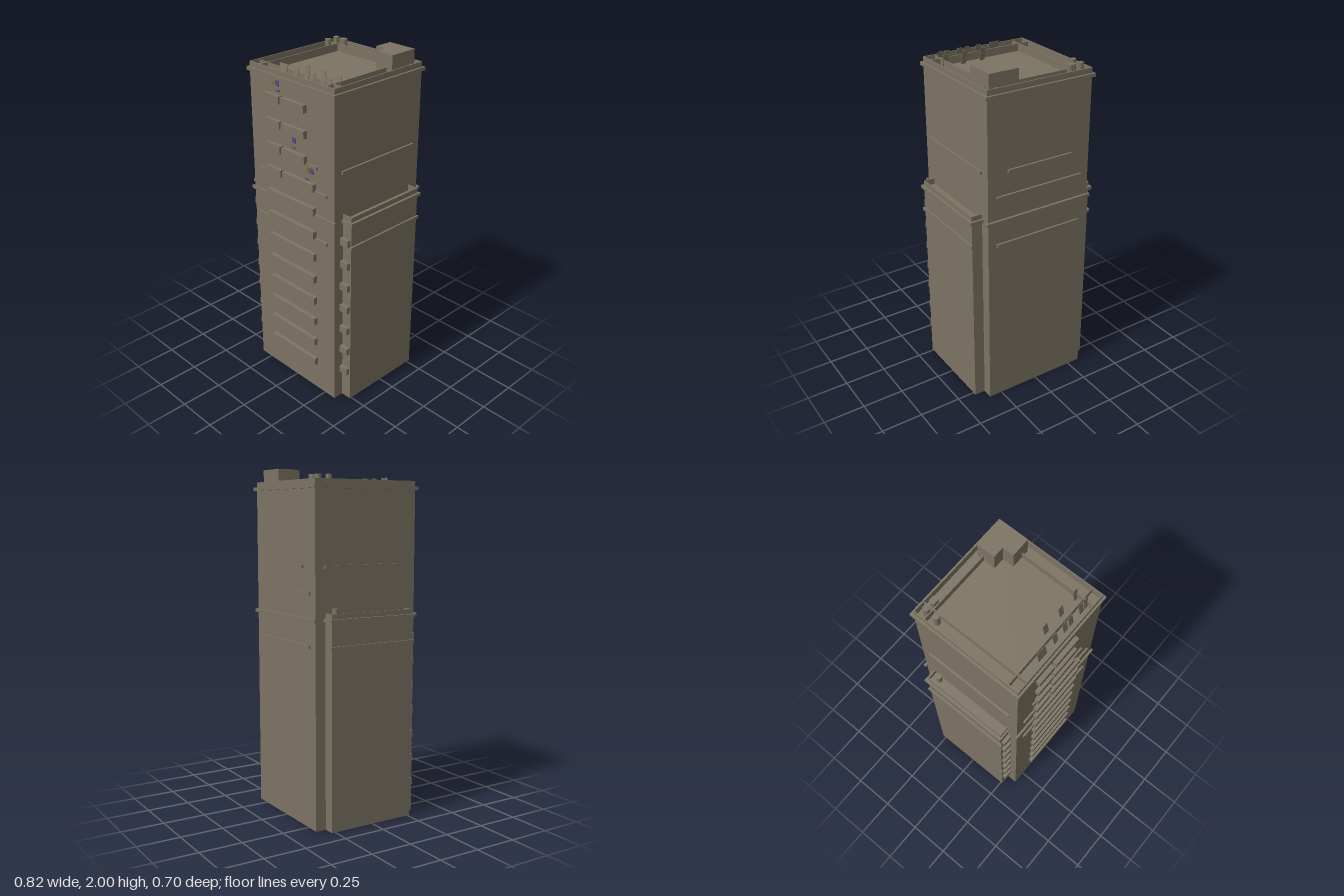
import * as THREE from 'three';

const paint = (name, color, side = THREE.FrontSide) => {
  const m = new THREE.MeshStandardMaterial({ color, side });
  m.name = name;
  return m;
};

export function createModel() {
  const concrete = paint('concrete', 0x7c7463);
  const blue = paint('bluePane', 0x504d80);
  const ochre = paint('ochrePane', 0x8a6d20);
  const model = new THREE.Group();
  model.name = 'towerBlock';

  // Box given by its limits on each axis
  const box = (name, x0, x1, y0, y1, z0, z1, mat = concrete) => {
    const mesh = new THREE.Mesh(new THREE.BoxGeometry(x1 - x0, y1 - y0, z1 - z0), mat);
    mesh.position.set((x0 + x1) / 2, (y0 + y1) / 2, (z0 + z1) / 2);
    mesh.name = name;
    model.add(mesh);
    return mesh;
  };

  // Rectangular ring of four bars, t thick inwards
  const ring = (name, x, z0, z1, y0, y1, t) => {
    box(name + 'Front', -x, x, y0, y1, z1 - t, z1);
    box(name + 'Back', -x, x, y0, y1, z0, z0 + t);
    box(name + 'Left', x - t, x, y0, y1, z0 + t, z1 - t);
    box(name + 'Right', -x, -x + t, y0, y1, z0 + t, z1 - t);
  };

  const X = 0.33, ZB = -0.335, ZF = 0.325, TOP = 1.93;   // tower
  const WX = 0.395, WB = -0.272, WF = 0.262, WTOP = 1.215; // wings

  // Hollow tower with open base, recessed roof and crossing inner walls
  ring('towerWall', X, ZB, ZF, 0, TOP, 0.007);
  box('towerRoof', -X + 0.007, X - 0.007, 1.865, 1.88, ZB + 0.007, ZF - 0.007);
  for (const x of [-0.259, 0.253]) box('innerWallAcross', x, x + 0.006, 0, 1.925, ZB + 0.007, ZF - 0.007);
  for (const z of [WB, WF - 0.007]) box('innerWallAlong', -X + 0.007, X - 0.007, 0, 1.924, z, z + 0.007);

  // Lower wings on both sides
  for (const s of [-1, 1]) {
    const side = (name, a, b, y0, y1, z0, z1) =>
      box(name, Math.min(a * s, b * s), Math.max(a * s, b * s), y0, y1, z0, z1);
    side('wingOuterWall', WX - 0.006, WX, 0, WTOP, WB, WF);
    side('wingFrontWall', X, WX - 0.006, 0, WTOP, WF - 0.007, WF);
    side('wingBackWall', X, WX - 0.006, 0, WTOP, WB, WB + 0.007);
    side('wingRoof', X, WX - 0.006, 1.165, 1.18, WB + 0.007, WF - 0.007);
    // Wing cornice and side string courses
    side('wingCorniceSide', WX, 0.41, 1.168, 1.187, -0.285, 0.272);
    side('wingCorniceFront', X, WX, 1.168, 1.187, WF, 0.272);
    side('wingCorniceBack', X, WX, 1.168, 1.187, -0.285, WB);
    side('wingStringCourse', WX, 0.406, 1.022, 1.04, -0.28, 0.272);
    side('towerSideCourse', X, 0.342, 1.455, 1.472, -0.28, 0.275);
    // Small wing balconies
    for (let i = 0; i < 7; i++) {
      const y = 0.2 + i * 0.143;
      side('wingBalcony', X, 0.388, y - 0.021, y + 0.021, WF, 0.285);
    }
  }

  // Tower cornices
  ring('topCornice', 0.343, -0.35, 0.337, 1.88, 1.9, 0.013);
  box('middleCorniceFront', -0.343, 0.343, 1.168, 1.187, ZF, 0.337);
  box('middleCorniceBack', -0.343, 0.343, 1.168, 1.187, -0.35, ZB);

  // String courses on front and back
  for (const [y, h] of [[1.463, 0.207], [1.32, 0.278], [1.031, 0.278]]) {
    box('frontStringCourse', -h, h, y - 0.009, y + 0.009, ZF, 0.336);
    box('backStringCourse', -h, h, y - 0.009, y + 0.009, -0.347, ZB);
  }

  // Front balconies, split in two on the upper floors
  for (let i = 0; i < 12; i++) {
    const y = 0.2 + i * 0.143;
    const spans = i < 8 ? [[-0.19, 0.187]] : [[-0.19, -0.073], [-0.06, i === 8 ? 0.187 : 0.122]];
    for (const [a, b] of spans) box('frontBalcony', a, b, y - 0.022, y + 0.022, ZF, 0.35);
  }

  // L-shaped stair house on the roof
  box('stairHouse', 0.12, 0.3, 1.88, 2, -0.305, -0.195);
  box('stairHouseWing', 0.186, 0.3, 1.88, 2, -0.195, -0.128);

  // Roof vents
  for (const [x, y, z] of [[-0.285, 1.88, -0.288], [-0.234, 1.88, -0.288], [-0.219, 1.88, -0.288],
    [-0.285, 1.88, -0.222], [-0.352, 1.165, -0.222]]) {
    const vent = new THREE.Mesh(new THREE.CylinderGeometry(0.018, 0.018, 0.075, 10), concrete);
    vent.position.set(x, y + 0.0375, z);
    vent.name = 'roofVent';
    model.add(vent);
  }

  // Steep panels facing the front
  const panel = (x, z) => {
    const m = box('roofPanel', x - 0.016, x + 0.016, 1.88, 1.956, z - 0.0015, z + 0.0015);
    m.rotation.x = -0.2;
  };
  [0.012, 0.132, 0.247].forEach(x => panel(x, 0.217));
  [-0.115, -0.085, 0.002, 0.08, 0.124, 0.206, 0.245].forEach(x => panel(x, 0.283));

  // Small coloured panes on the front
  const pane = (mat, x, y, w, h, z = ZF) =>
    box('pane', x - w / 2, x + w / 2, y - h / 2, y + h / 2, z, z + 0.002, mat);
  for (const [x, y] of [[-0.105, 1.857], [0.02, 1.568], [0.157, 1.43]]) pane(blue, x, y, 0.03, 0.032);
  for (const [x, y] of [[-0.1, 1.815], [0.02, 1.525], [0.12, 1.373]]) pane(blue, x, y, 0.03, 0.01);
  for (const [x, y] of [[-0.143, 1.857], [0.122, 1.43]]) pane(ochre, x, y, 0.022, 0.025);
  for (const y of [0.705, 0.565, 0.277]) pane(ochre, -0.352, y, 0.025, 0.025, WF);

  return model;
}
